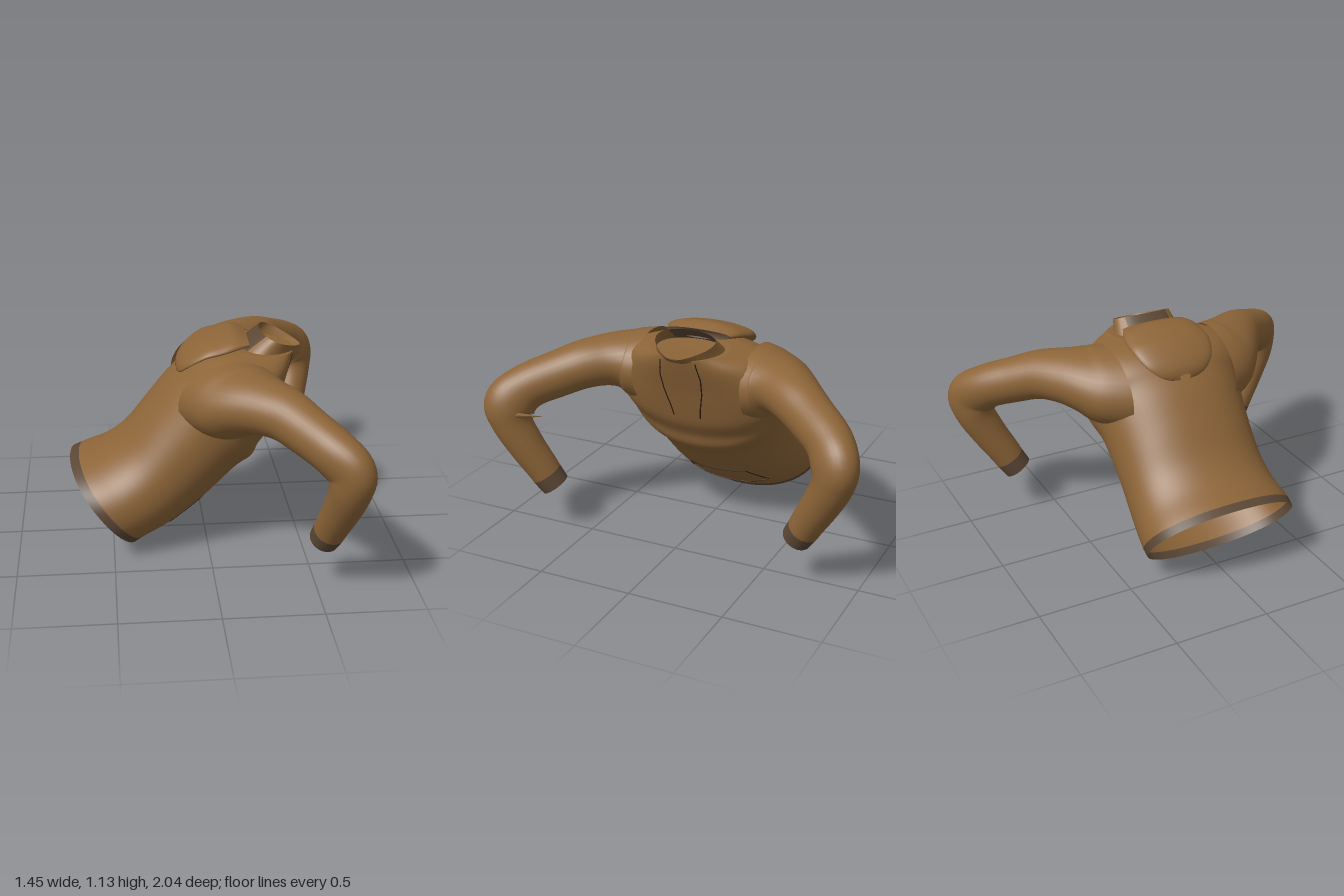
import * as THREE from 'three';

const V = (x, y, z) => new THREE.Vector3(x, y, z);
const mat = (name, color) => {
  const m = new THREE.MeshStandardMaterial({ color, side: THREE.DoubleSide });
  m.name = name;
  return m;
};

// Smooth interpolation through rows of numbers
function sample(keys, s) {
  const last = keys.length - 1;
  const i = Math.min(Math.max(Math.floor(s), 0), last - 1), t = s - i;
  const [a, b, c, d] = [-1, 0, 1, 2].map(o => keys[Math.min(Math.max(i + o, 0), last)]);
  return b.map((_, k) => b[k] + 0.5 * t * (c[k] - a[k]
    + t * (2 * a[k] - 5 * b[k] + 4 * c[k] - d[k] + t * (3 * (b[k] - c[k]) + d[k] - a[k]))));
}

// Surface swept from rings: fn(s, angle) gives a point; full turns are welded
function loft(fn, s0, s1, rows, cols, a0 = 0, a1 = Math.PI * 2) {
  const closed = a1 - a0 > 6.28, n = closed ? cols : cols + 1;
  const pos = [], idx = [];
  for (let r = 0; r <= rows; r++)
    for (let c = 0; c < n; c++)
      pos.push(...fn(s0 + (s1 - s0) * r / rows, a0 + (a1 - a0) * c / cols).toArray());
  for (let r = 0; r < rows; r++)
    for (let c = 0; c < cols; c++) {
      const p = r * n + c, q = r * n + (c + 1) % n;
      idx.push(p, p + n, q, q, p + n, q + n);
    }
  const g = new THREE.BufferGeometry();
  g.setAttribute('position', new THREE.Float32BufferAttribute(pos, 3));
  g.setIndex(idx);
  g.computeVertexNormals();
  return g;
}

// Torso rings: back x, y, front x, y, half width
const TORSO = [
  [-0.72, 0.45, -0.36, 0.005, 0.41], [-0.655, 0.475, -0.31, 0.04, 0.413],
  [-0.53, 0.525, -0.2, 0.1, 0.398], [-0.42, 0.61, -0.1, 0.17, 0.387],
  [-0.3, 0.76, 0.0, 0.25, 0.385], [-0.2, 0.88, 0.165, 0.415, 0.4],
  [-0.12, 0.955, 0.25, 0.485, 0.43], [-0.07, 1.0, 0.28, 0.56, 0.46],
  [-0.02, 1.03, 0.33, 0.64, 0.475], [0.03, 1.048, 0.365, 0.74, 0.465],
  [0.07, 1.057, 0.4, 0.85, 0.42], [0.1, 1.062, 0.44, 0.96, 0.33],
  [0.13, 1.06, 0.465, 1.035, 0.21],
];
const POWER = 2.15;
const bulge = v => Math.sign(v) * Math.abs(v) ** (2 / POWER);
function torsoPoint(s, a) {
  const [bx, by, fx, fy, w] = sample(TORSO, s), c = bulge(Math.cos(a));
  return V((bx + fx) / 2 + (fx - bx) / 2 * c, (by + fy) / 2 + (fy - by) / 2 * c, w * bulge(Math.sin(a)));
}

// Point on the front of the torso at a given height and sideways offset
function frontPoint(y, z) {
  let lo = 0, hi = 12, p;
  for (let i = 0; i < 30; i++) {
    const s = (lo + hi) / 2, [bx, by, fx, fy, w] = sample(TORSO, s);
    const c = Math.max(0, 1 - Math.min(1, Math.abs(z / w)) ** POWER) ** (1 / POWER);
    p = V((bx + fx) / 2 + (fx - bx) / 2 * c, (by + fy) / 2 + (fy - by) / 2 * c, z);
    if (p.y < y) lo = s; else hi = s;
  }
  return p;
}

// Left sleeve rings, flared at the shoulder: centre x, y, z, width radius, height radius
const ARM = [
  [0.11, 0.85, 0.3, 0.27, 0.2], [0.145, 0.862, 0.385, 0.245, 0.182],
  [0.195, 0.885, 0.445, 0.205, 0.152], [0.265, 0.892, 0.515, 0.165, 0.135],
  [0.35, 0.88, 0.6, 0.138, 0.127], [0.43, 0.842, 0.7, 0.122, 0.122],
  [0.535, 0.785, 0.83, 0.112, 0.12], [0.612, 0.707, 0.893, 0.103, 0.135],
  [0.617, 0.61, 0.888, 0.1, 0.108], [0.595, 0.48, 0.825, 0.092, 0.095],
  [0.567, 0.36, 0.755, 0.084, 0.086], [0.557, 0.315, 0.73, 0.081, 0.083],
  [0.54, 0.25, 0.69, 0.077, 0.077],
];
const SIDE = V(0.6, 0.115, -0.435).normalize();
function armPoint(s, a) {
  const k = sample(ARM, s);
  const p = sample(ARM, Math.max(s - 0.3, 0)), q = sample(ARM, Math.min(s + 0.3, 12));
  const t = V(q[0] - p[0], q[1] - p[1], q[2] - p[2]).normalize();
  // Shoulder rings stay parallel to the body side, then turn with the sleeve
  t.lerp(V(0, 0, 1), Math.max(0, 1 - s / 4)).normalize();
  const h = SIDE.clone().addScaledVector(t, -SIDE.dot(t)).normalize();
  const v = t.clone().cross(h);
  return V(k[0], k[1], k[2]).addScaledVector(h, k[3] * Math.cos(a)).addScaledVector(v, k[4] * Math.sin(a));
}

// Hood stations: x, edge height, crown height, half width
const HOOD = [
  [-0.15, 0.945, 0.955, 0.03], [-0.135, 0.955, 0.995, 0.12], [-0.09, 1.0, 1.045, 0.185],
  [-0.01, 1.05, 1.1, 0.218], [0.07, 1.07, 1.125, 0.222], [0.145, 1.088, 1.14, 0.208],
  [0.215, 1.1, 1.118, 0.178],
];
function hoodPoint(s, a) {
  const [x, y0, y1, w] = sample(HOOD, s), k = Math.sin(a);
  return V(x, y0 + k * (k > 0 ? y1 - y0 : 0.03), w * Math.cos(a));
}

// Collar: neck ring rising to a tilted teardrop rim
function collarPoint(s, a) {
  const c = Math.cos(a), k = Math.sin(a);
  const base = V(0.295 + 0.165 * c, 1.015, 0.19 * k * (1 - 0.15 * c));
  const rim = V(0.395 + 0.108 * c, 1.09 - 0.045 * c, 0.15 * k * (1 - 0.42 * c));
  return base.lerp(rim, s);
}

export function createModel() {
  const group = new THREE.Group();
  const brown = mat('brown cloth', 0x8c6438);
  const rib = mat('dark ribbing', 0x5b4735);
  const line = mat('stitch line', 0x2b1d10);
  const add = (name, geometry, material, parent = group) => {
    const m = new THREE.Mesh(geometry, material);
    m.name = name;
    parent.add(m);
    return m;
  };

  // Body
  add('hemBand', loft(torsoPoint, 0, 0.8, 3, 64), rib);
  add('torso', loft(torsoPoint, 0.8, 12, 60, 64), brown);
  add('neckFloor', loft((s, a) => torsoPoint(12, a).lerp(V(0.3, 1.04, 0), s), 0, 1, 2, 64), brown);

  // Sleeves and cuffs, mirrored across the body
  for (const side of [1, -1]) {
    const arm = new THREE.Group();
    arm.name = side > 0 ? 'leftArm' : 'rightArm';
    const fn = (s, a) => armPoint(s, a * side).multiply(V(1, 1, side));
    add('sleeve', loft(fn, 0, 11, 66, 32), brown, arm);
    add('cuff', loft(fn, 11, 12, 3, 32), rib, arm);
    group.add(arm);
  }

  // Stray pointed fold inside the left elbow
  const from = V(0.665, 0.665, 0.87), to = V(0.685, 0.7, 0.645), along = to.clone().sub(from);
  const fold = add('elbowFold', new THREE.CylinderGeometry(0, 0.02, along.length(), 5), brown);
  fold.position.copy(from).add(to).multiplyScalar(0.5);
  fold.quaternion.setFromUnitVectors(V(0, 1, 0), along.normalize());

  // Hood lying on the back, with a dark opening
  add('hood', loft(hoodPoint, 0, 6, 30, 40), brown);
  add('hoodLining', loft((s, a) => hoodPoint(6, a).lerp(V(0.205, 1.1, 0), s), 0, 1, 1, 40), rib);

  // Collar, ribbed at the nape
  const nape = 0.65;
  add('collar', loft(collarPoint, 0, 1, 5, 40, nape - Math.PI, Math.PI - nape), brown);
  add('collarNape', loft(collarPoint, 0, 1, 5, 16, Math.PI - nape, Math.PI + nape), rib);

  // Thin seam lines laid on the cloth
  const seam = (name, points, closed = false) => {
    const path = new THREE.CurvePath();
    const n = points.length;
    for (let i = 0; i < (closed ? n : n - 1); i++) {
      const [a, b] = [points[i], points[(i + 1) % n]];
      const pts = Array.from({ length: 9 }, (_, k) =>
        frontPoint(a[0] + (b[0] - a[0]) * k / 8, a[1] + (b[1] - a[1]) * k / 8));
      path.add(new THREE.CatmullRomCurve3(pts));
    }
    add(name, new THREE.TubeGeometry(path, 160, 0.0038, 5, false), line);
  };
  seam('pocketSeam', [[0.258, -0.165], [0.25, 0], [0.258, 0.165], [0.15, 0.23], [0.108, 0.12],
    [0.094, 0], [0.108, -0.12], [0.15, -0.23]], true);
  for (const side of [1, -1])
    seam('drawstring', [[1.02, 0.095], [0.93, 0.112], [0.84, 0.105], [0.74, 0.082], [0.69, 0.075]]
      .map(([y, z]) => [y, z * side]));

  return group;
}
